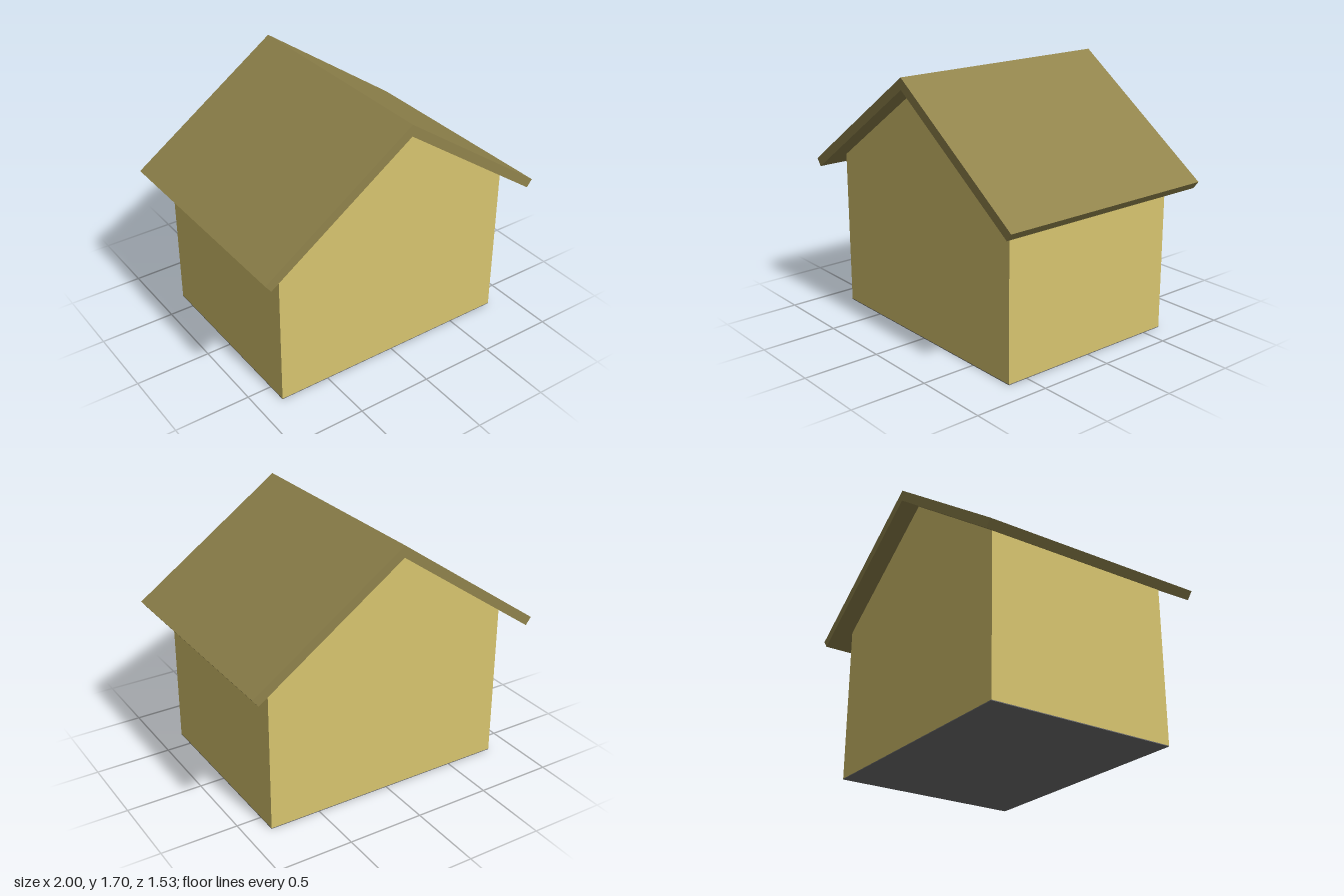
import * as THREE from 'three';

// Extrudes an x-y outline to a given depth, centred on z = 0
function extrudeProfile(name, points, depth, color) {
  const shape = new THREE.Shape(points.map(([x, y]) => new THREE.Vector2(x, y)));
  const geometry = new THREE.ExtrudeGeometry(shape, { depth, bevelEnabled: false });
  geometry.translate(0, 0, -depth / 2);
  const mesh = new THREE.Mesh(geometry, new THREE.MeshStandardMaterial({ color }));
  mesh.name = name;
  return mesh;
}

export function createModel() {
  const house = new THREE.Group();
  house.name = 'house';

  const halfWidth = 0.837, depth = 1.275, floorHeight = 0.005;
  const ridge = 1.7, innerRidge = 1.625;
  const eave = [1, 1.0], innerEave = [0.963, 0.952];

  // Gabled walls, reaching up to the underside of the roof
  const slope = (innerRidge - innerEave[1]) / innerEave[0];
  const wallTop = innerRidge - slope * halfWidth;
  house.add(extrudeProfile('walls', [
    [-halfWidth, floorHeight], [halfWidth, floorHeight],
    [halfWidth, wallTop], [0, innerRidge], [-halfWidth, wallTop],
  ], depth, 0xd8c56f));

  // Two mirrored roof slabs meeting at the ridge
  for (const side of [1, -1]) {
    const outline = [[0, innerRidge], innerEave, eave, [0, ridge]]
      .map(([x, y]) => [x * side, y]);
    house.add(extrudeProfile(side > 0 ? 'leftRoof' : 'rightRoof', outline, 1.526, 0x90834c));
  }

  // Thin floor slab
  const floor = new THREE.Mesh(
    new THREE.BoxGeometry(halfWidth * 2, floorHeight, depth),
    new THREE.MeshStandardMaterial({ color: 0x707070 }),
  );
  floor.name = 'floor';
  floor.position.y = floorHeight / 2;
  house.add(floor);

  return house;
}
